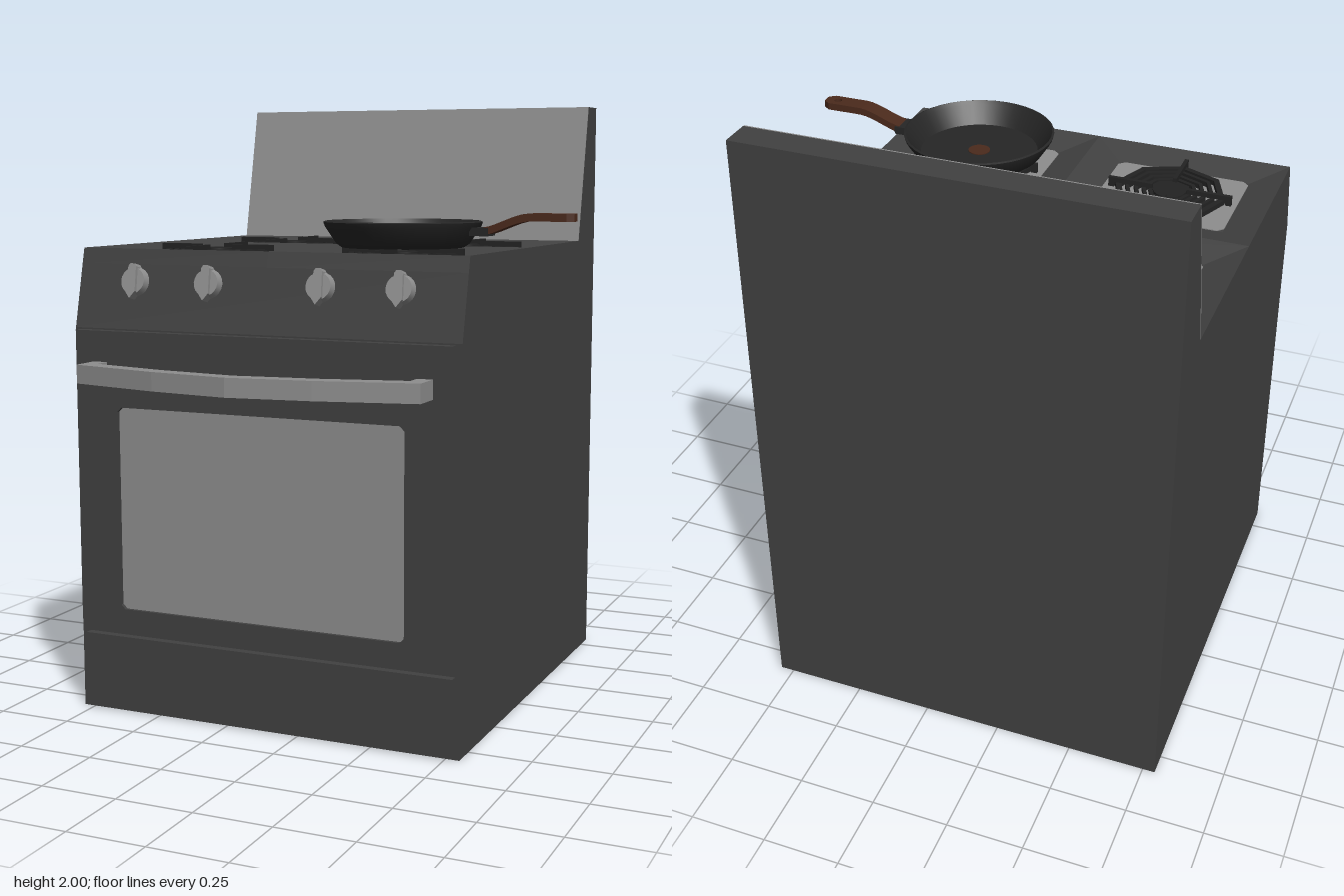
import * as THREE from 'three';
import { toCreasedNormals } from 'three/addons/utils/BufferGeometryUtils.js';

const paint = (name, color) => Object.assign(new THREE.MeshStandardMaterial({ color }), { name });
const M = {
  body: paint('charcoal enamel', 0x414141),
  steel: paint('brushed steel', 0x8e8e8e),
  iron: paint('cast iron', 0x232323),
  pan: paint('black pan coating', 0x262626),
  wood: paint('brown handle', 0x4b2a1c),
};
const X0 = -0.79, X1 = 0.545, CX = -0.12, TOP = 1.525, FLOOR = 1.495, BASE = 1.475;

function add(parent, name, geo, mat, x = 0, y = 0, z = 0) {
  const m = new THREE.Mesh(geo, mat);
  m.name = name;
  m.position.set(x, y, z);
  parent.add(m);
  return m;
}
const box = (w, h, d) => new THREE.BoxGeometry(w, h, d);
const shapeOf = pts => new THREE.Shape(pts.map(p => new THREE.Vector2(...p)));
const extrude = (shape, depth, curveSegments = 12) =>
  new THREE.ExtrudeGeometry(shape, { depth, bevelEnabled: false, curveSegments });

// Side profile of [z, y] points swept across the full width
const sideProfile = pts =>
  extrude(shapeOf(pts), X1 - X0).rotateY(-Math.PI / 2).translate(X1, 0, 0);

// Plan outline of [x, z] points raised from y by height
const planExtrude = (shape, y, height) =>
  extrude(shape, height).rotateX(Math.PI / 2).translate(0, y + height, 0);

// Rectangle with clipped corners
const clippedRect = (x0, y0, x1, y1, c) => [
  [x0 + c, y0], [x1 - c, y0], [x1, y0 + c], [x1, y1 - c],
  [x1 - c, y1], [x0 + c, y1], [x0, y1 - c], [x0, y0 + c]];

// Sunken burner well: outer skirt, sloping sides and floor
function wellGeometry(x0, x1, z0, z1, zBase, inner) {
  const ring = (a, b, c, d, y) => [[a, y, c], [a, y, d], [b, y, d], [b, y, c]];
  const rings = [ring(x0, x1, z0, zBase, BASE), ring(x0, x1, z0, z1, TOP), ring(...inner, FLOOR)];
  const v = [];
  for (let r = 0; r < 2; r++) {
    for (let i = 0; i < 4; i++) {
      const j = (i + 1) % 4, a = rings[r], b = rings[r + 1];
      v.push(...a[i], ...a[j], ...b[j], ...a[i], ...b[j], ...b[i]);
    }
  }
  const f = rings[2];
  v.push(...f[0], ...f[1], ...f[2], ...f[0], ...f[2], ...f[3]);
  const g = new THREE.BufferGeometry();
  g.setAttribute('position', new THREE.Float32BufferAttribute(v, 3));
  g.computeVertexNormals();
  return g;
}

// Octagonal ring with corners on the axes
function octagonRing(r, w, h) {
  const corner = rad => Array.from({ length: 8 }, (_, i) =>
    new THREE.Vector2(rad * Math.cos(i * Math.PI / 4), rad * Math.sin(i * Math.PI / 4)));
  const s = new THREE.Shape(corner(r));
  s.holes.push(new THREE.Path(corner(r - w)));
  return planExtrude(s, 0, h);
}

function makeGrate(x, z) {
  const g = new THREE.Group();
  g.name = 'burnerGrate';
  g.position.set(x, FLOOR, z);
  [0.186, 0.152, 0.122, 0.095, 0.072].forEach((r, i) =>
    add(g, 'grateRing', octagonRing(r, i ? 0.013 : 0.02, 0.02), M.iron));
  add(g, 'burnerCap', new THREE.CylinderGeometry(0.055, 0.055, 0.024, 20), M.iron, 0, 0.012, 0);
  for (let i = 0; i < 4; i++) {
    const arm = new THREE.Group();
    arm.name = 'grateArm';
    arm.rotation.y = i * Math.PI / 2;
    add(arm, 'armBar', box(0.15, 0.016, 0.013), M.iron, 0.133, 0.028, 0);
    add(arm, 'armFoot', box(0.02, 0.03, 0.013), M.iron, 0.198, 0.015, 0);
    g.add(arm);
  }
  return g;
}

function makeKnob(x) {
  const g = new THREE.Group();
  g.name = 'controlKnob';
  g.position.set(x, 1.42, 0.545);
  g.rotation.x = -0.231;
  add(g, 'knobDial', new THREE.CylinderGeometry(0.042, 0.047, 0.024, 20).rotateX(Math.PI / 2), M.steel, 0, 0, 0.012);
  const grip = [[0, -0.058], [0.018, -0.035], [0.014, 0.045], [0.008, 0.054],
    [-0.008, 0.054], [-0.014, 0.045], [-0.018, -0.035]];
  add(g, 'knobGrip', extrude(shapeOf(grip), 0.035), M.steel);
  return g;
}

function makePan() {
  const g = new THREE.Group();
  g.name = 'fryingPan';
  g.position.set(0.215, 1.533, 0.235);
  const profile = [[0, 0], [0.195, 0], [0.212, 0.012], [0.248, 0.066], [0.253, 0.08],
    [0.246, 0.083], [0.237, 0.07], [0.198, 0.012], [0, 0.01]].map(p => new THREE.Vector2(...p));
  add(g, 'panBowl', toCreasedNormals(new THREE.LatheGeometry(profile, 40), 0.6), M.pan);
  add(g, 'panCentreMark', new THREE.CylinderGeometry(0.037, 0.037, 0.004, 24), M.wood, 0, 0.011, 0);
  add(g, 'handleSocket', box(0.06, 0.026, 0.075), M.pan, 0.265, 0.052, 0);

  // Bent neck of the handle, then a flat end with a hanging hole
  const neck = box(0.18, 0.024, 0.064, 10, 1, 1).translate(0.37, 0, 0);
  neck.deleteAttribute('normal');
  const bent = new THREE.BoxGeometry(0.18, 0.024, 0.064, 10, 1, 1).translate(0.37, 0, 0);
  const p = bent.attributes.position;
  for (let i = 0; i < p.count; i++) {
    const t = THREE.MathUtils.smoothstep(p.getX(i), 0.26, 0.43);
    p.setY(i, p.getY(i) + 0.052 + 0.046 * t);
  }
  bent.computeVertexNormals();
  add(g, 'handleNeck', bent, M.wood);
  const end = shapeOf([[0.46, -0.032], [0.545, -0.032], [0.566, -0.016],
    [0.566, 0.016], [0.545, 0.032], [0.46, 0.032]]);
  end.holes.push(new THREE.Path().absarc(0.522, 0, 0.013, 0, Math.PI * 2, true));
  add(g, 'handleEnd', planExtrude(end, 0.086, 0.024), M.wood);
  return g;
}

export function createModel() {
  const stove = new THREE.Group();
  stove.name = 'stove';

  // Cabinet with upright back and its steel splash panel
  add(stove, 'cabinet', sideProfile([[-0.82, 0], [0.58, 0], [0.58, 1.27], [0.532, BASE],
    [-0.62, BASE], [-0.62, TOP], [-0.72, 2], [-0.82, 2]]), M.body);
  add(stove, 'splashPanel', sideProfile([[-0.621, TOP], [-0.615, TOP], [-0.716, 2], [-0.721, 2]]), M.steel);

  // Four burners
  const columns = [[X0, CX, -0.68, -0.23], [CX, X1, -0.015, 0.44]];
  const rows = [[-0.62, -0.055, -0.055, -0.52, -0.16], [-0.055, 0.52, 0.532, 0.055, 0.41]];
  for (const [x0, x1, a, b] of columns) {
    for (const [z0, z1, zBase, c, d] of rows) {
      add(stove, 'burnerWell', wellGeometry(x0, x1, z0, z1, zBase, [a, b, c, d]), M.body);
      add(stove, 'burnerPlate', planExtrude(shapeOf(clippedRect(a, c, b, d, 0.02)), FLOOR - 0.002, 0.005), M.steel);
      stove.add(makeGrate((a + b) / 2, (c + d) / 2));
    }
  }

  // Controls
  [-0.58, -0.315, 0.073, 0.337].forEach(x => stove.add(makeKnob(x)));

  // Oven door with recessed window
  const door = shapeOf([[-0.77, 0.305], [0.525, 0.305], [0.525, 1.265], [-0.77, 1.265]]);
  const opening = clippedRect(-0.62, 0.355, 0.375, 1.02, 0.015);
  door.holes.push(new THREE.Path(opening.map(q => new THREE.Vector2(...q))));
  add(stove, 'ovenDoor', extrude(door, 0.037), M.body, 0, 0, 0.575);
  add(stove, 'ovenWindow', extrude(shapeOf(opening), 0.008), M.steel, 0, 0, 0.592);

  // Bowed door handle
  const half = [[0.535, 0.605], [0.535, 0.665], [0.27, 0.725], [0, 0.76]];
  const outer = [[0, 0.815], [0.27, 0.78], [0.585, 0.71], [0.585, 0.605]];
  const mirror = pts => pts.map(([x, z]) => [-x, z]).reverse();
  const bow = [...half, ...mirror(half).slice(1), ...mirror(outer), ...outer.slice(1)];
  add(stove, 'doorHandle', planExtrude(shapeOf(bow), 1.105, 0.06), M.steel, CX, 0, 0);

  // Storage drawer
  add(stove, 'drawer', box(1.29, 0.235, 0.032), M.body, -0.115, 0.1425, 0.591);

  stove.add(makePan());
  return stove;
}
